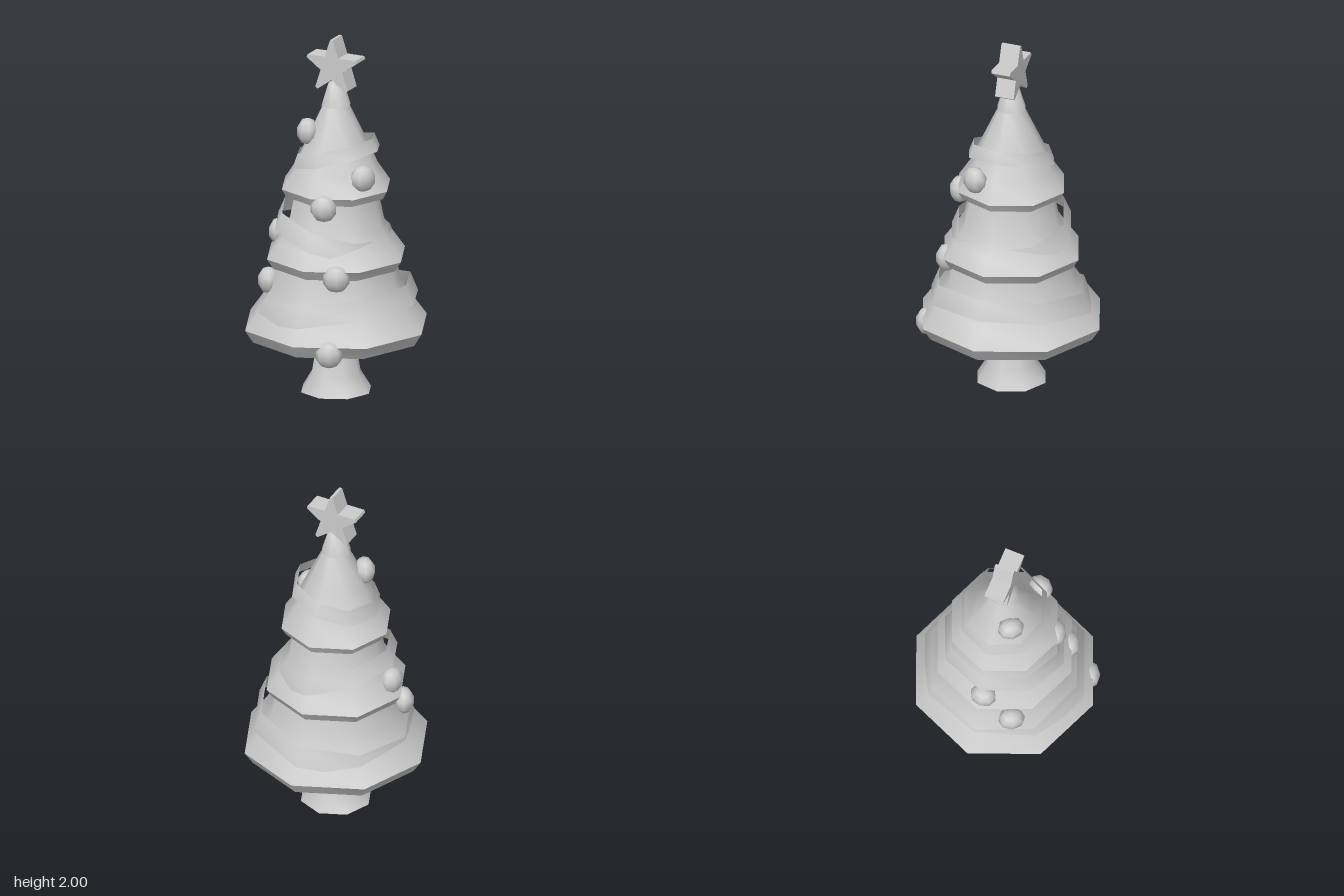
import * as THREE from 'three';
import { toCreasedNormals } from 'three/addons/utils/BufferGeometryUtils.js';

const grey = new THREE.MeshStandardMaterial({ color: 0xcccccc });
const thin = new THREE.MeshStandardMaterial({ color: 0xcccccc, side: THREE.DoubleSide });

export function createModel() {
  const tree = new THREE.Group();
  tree.name = 'christmasTree';

  const add = (name, geometry, material = grey) => {
    const mesh = new THREE.Mesh(geometry, material);
    mesh.name = name;
    tree.add(mesh);
    return mesh;
  };

  // Eight-sided turned shape, profile given from bottom to top as [radius, y]
  const turned = (profile) =>
    new THREE.LatheGeometry(profile.map(([r, y]) => new THREE.Vector2(r, y)), 8);
  const soft = (geometry) => toCreasedNormals(geometry, 0.95);

  // Flared trunk
  add('trunk', soft(turned([[0, 0], [0.2, 0], [0.14, 0.1], [0.1, 0.33]])));

  // Three skirts of branches and the tip collar
  add('lowerBranches', soft(turned(
    [[0, 0.31], [0.475, 0.31], [0.52, 0.38], [0.44, 0.49], [0.37, 0.6], [0.335, 0.75]])));
  add('middleBranches', soft(turned(
    [[0, 0.72], [0.36, 0.72], [0.395, 0.775], [0.335, 0.86], [0.275, 0.95], [0.235, 1.14]])));
  add('upperBranches', soft(turned(
    [[0, 1.12], [0.285, 1.12], [0.31, 1.165], [0.24, 1.27], [0.165, 1.43], [0.065, 1.64]])));
  add('tipCollar', soft(turned([[0, 1.62], [0.083, 1.62], [0.045, 1.74], [0, 1.77]])));

  // Flared ribbon rings, sheared so that one side hangs lower
  const garlands = [
    { bottom: [0.47, 0.47], top: [0.425, 0.583], slope: 0.148 },
    { bottom: [0.35, 0.87], top: [0.308, 0.973], slope: -0.265 },
    { bottom: [0.25, 1.322], top: [0.22, 1.4], slope: 0.25 },
  ];
  garlands.forEach(({ bottom, top, slope }, i) => {
    const ring = turned([bottom, top]);
    const p = ring.attributes.position;
    for (let k = 0; k < p.count; k++) p.setY(k, p.getY(k) + slope * p.getX(k));
    ring.computeVertexNormals();
    add('garland' + (i + 1), soft(ring), thin);
  });

  // Baubles, slightly flattened towards the tree
  const bauble = new THREE.SphereGeometry(0.075, 8, 5);
  [
    [-0.128, 1.475, 0.09], [0.225, 1.262, 0.12], [0.062, 1.11, 0.275], [0.16, 0.733, 0.315],
    [-0.335, 0.86, 0.015], [-0.322, 0.625, 0.175], [0.172, 0.335, 0.428],
  ].forEach(([x, y, z], i) => {
    const ball = add('bauble' + (i + 1), bauble);
    ball.position.set(x, y, z);
    ball.rotation.y = Math.atan2(x, z);
    ball.scale.z = 0.8;
  });

  // Five-pointed star with blunted tips
  const outline = [];
  for (let i = 0; i < 5; i++) {
    const a = Math.PI / 2 + (i * 2 * Math.PI) / 5;
    const at = (r, t) => outline.push(new THREE.Vector2(r * Math.cos(t), r * Math.sin(t)));
    at(0.156, a - 0.055);
    at(0.156, a + 0.055);
    at(0.07, a + Math.PI / 5);
  }
  const star = new THREE.ExtrudeGeometry(new THREE.Shape(outline), { depth: 0.11, bevelEnabled: false });
  star.translate(0, 1.844, -0.055);
  add('star', star);

  return tree;
}
